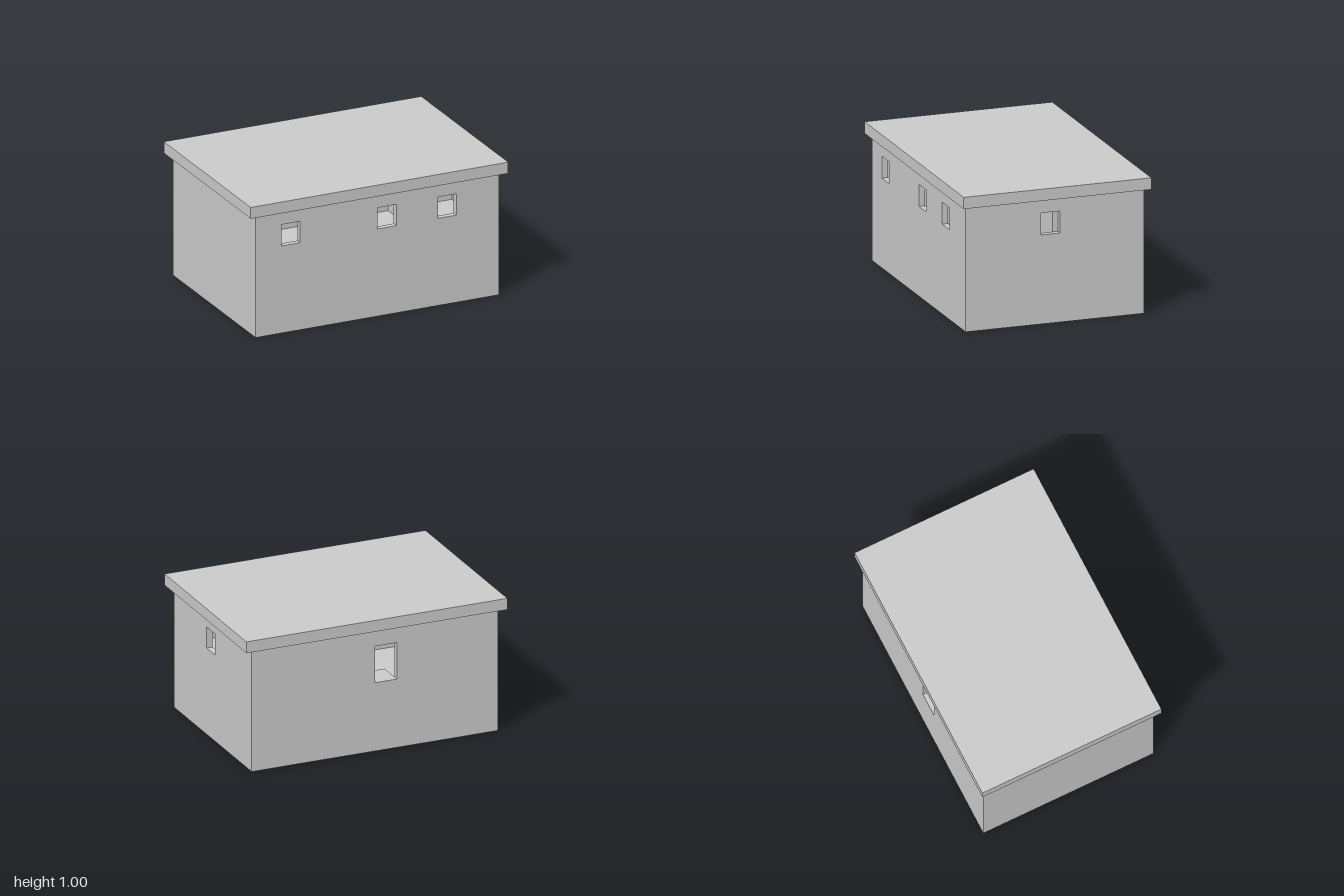
import * as THREE from 'three';

const material = new THREE.MeshStandardMaterial({ color: 0xcccccc, flatShading: true });

// Outer half sizes, wall thickness and main levels
const HX = 0.945, HZ = 0.665, T = 0.045;
const FLOOR = 0.49, EAVES = 0.915, TOP = 1;
const IX = HX - T, IZ = HZ - T;

function rectangle(Type, [u0, u1, v0, v1]) {
  const r = new Type();
  r.moveTo(u0, v0);
  r.lineTo(u1, v0);
  r.lineTo(u1, v1);
  r.lineTo(u0, v1);
  r.closePath();
  return r;
}

// Upright panel pierced by rectangular openings; its thickness runs along z
function panel(name, outline, openings, depth) {
  const shape = rectangle(THREE.Shape, outline);
  shape.holes = openings.map((o) => rectangle(THREE.Path, o));
  const geometry = new THREE.ExtrudeGeometry(shape, { depth, bevelEnabled: false });
  const mesh = new THREE.Mesh(geometry, material);
  mesh.name = name;
  return mesh;
}

// Block given by its limits on each axis
function block(name, [x0, x1], [y0, y1], [z0, z1]) {
  const mesh = new THREE.Mesh(new THREE.BoxGeometry(x1 - x0, y1 - y0, z1 - z0), material);
  mesh.name = name;
  mesh.position.set((x0 + x1) / 2, (y0 + y1) / 2, (z0 + z1) / 2);
  return mesh;
}

export function createModel() {
  const model = new THREE.Group();
  model.name = 'blockhouse';

  // Front wall with three windows
  const windows = [-0.745, 0.003, 0.47].map((x) => [x, x + 0.145, 0.655, 0.815]);
  const front = panel('frontWall', [-HX, HX, 0, EAVES], windows, T);
  front.position.z = IZ;

  // Back wall with the entrance
  const back = panel('backWall', [-HX, HX, 0, EAVES], [[-0.17, 0, 0.515, 0.79]], T);
  back.position.z = -HZ;

  // Side walls; one window on the +x side
  const left = panel('leftWall', [-IZ, IZ, 0, EAVES], [[-0.105, 0.04, 0.65, 0.81]], T);
  left.rotation.y = Math.PI / 2;
  left.position.x = IX;
  const right = panel('rightWall', [-IZ, IZ, 0, EAVES], [], T);
  right.rotation.y = Math.PI / 2;
  right.position.x = -HX;

  // Long inner wall with two doorways
  const doors = [-0.735, -0.09].map((x) => [x, x + 0.17, FLOOR, 0.755]);
  const inner = panel('innerWall', [-IX, IX, FLOOR - 0.02, EAVES], doors, T);
  inner.position.z = -T;

  model.add(front, back, left, right, inner);

  // Cross walls between the rooms
  for (const x of [-0.25, 0.45]) {
    model.add(block('frontCrossWall', [x - T, x], [FLOOR, EAVES], [0, IZ]));
  }
  model.add(block('backCrossWall', [0.19, 0.19 + T], [FLOOR, EAVES], [-IZ, -T]));

  // Raised floor, entrance step and overhanging roof slab
  model.add(
    block('floor', [-IX, IX], [0, FLOOR], [-IZ, IZ]),
    block('entranceStep', [-0.17, 0], [FLOOR, 0.515], [-IZ, -0.45]),
    block('roofSlab', [-1, 1], [EAVES, TOP], [-0.7, 0.7]),
  );
  return model;
}
